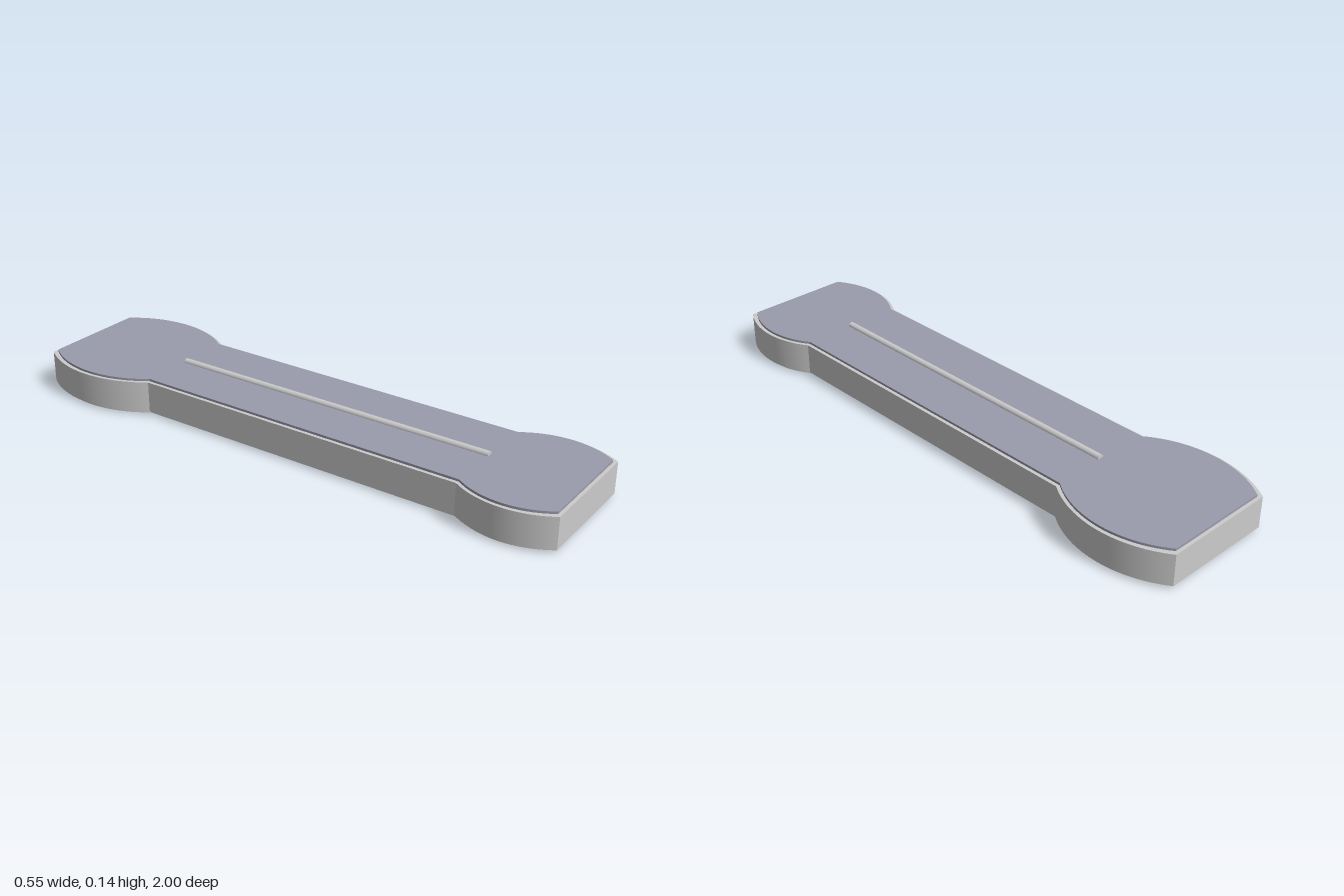
import * as THREE from 'three';
import { toCreasedNormals } from 'three/addons/utils/BufferGeometryUtils.js';

const grey = new THREE.MeshStandardMaterial({ color: 0xcccccc });
const blueGrey = new THREE.MeshStandardMaterial({ color: 0x9a9cac });

// Circular bulge on the +x side from z0 to z1, starting at x and swelling by rise
function bulge(x, z0, z1, rise, steps = 24) {
  const half = Math.abs(z1 - z0) / 2;
  const r = (half * half + rise * rise) / (2 * rise);
  const sweep = Math.asin(half / r);
  const points = [];
  for (let i = 0; i <= steps; i++) {
    const a = -sweep + (2 * sweep * i) / steps;
    points.push([x + rise - r + r * Math.cos(a), (z0 + z1) / 2 + r * Math.sin(a) * Math.sign(z1 - z0)]);
  }
  return points;
}

// Plan outline: straight shaft with a rounded lobe at each end, shrunk by inset
function outline(inset) {
  const x = 0.2 - inset;
  const side = [
    ...bulge(x, 1 - inset, 0.665 + inset * 0.3, 0.05),
    ...bulge(x, -0.545 - inset * 0.3, -1 + inset, 0.073),
  ];
  const mirrored = side.map(([px, pz]) => [-px, pz]).reverse();
  return new THREE.Shape([...side, ...mirrored].map(([px, pz]) => new THREE.Vector2(px, -pz)));
}

// Slab of the outline between two heights
function slab(name, inset, y0, y1, material) {
  const geometry = new THREE.ExtrudeGeometry(outline(inset), { depth: y1 - y0, bevelEnabled: false });
  geometry.rotateX(-Math.PI / 2).translate(0, y0, 0);
  const mesh = new THREE.Mesh(toCreasedNormals(geometry, 0.4), material);
  mesh.name = name;
  return mesh;
}

export function createModel() {
  const model = new THREE.Group();
  model.name = 'dumbbellShapedPlate';

  // Body with slightly smaller plates above and below
  model.add(slab('basePlate', 0.012, 0, 0.01, grey));
  model.add(slab('body', 0, 0.01, 0.12, grey));
  model.add(slab('topPlate', 0.012, 0.12, 0.128, blueGrey));

  // Rounded ridge along the middle, half sunk into the top plate
  const ridge = new THREE.Mesh(new THREE.CylinderGeometry(0.012, 0.012, 1.21, 24), grey);
  ridge.name = 'centreRidge';
  ridge.rotation.x = Math.PI / 2;
  ridge.position.set(0, 0.128, 0.063);
  model.add(ridge);

  return model;
}
